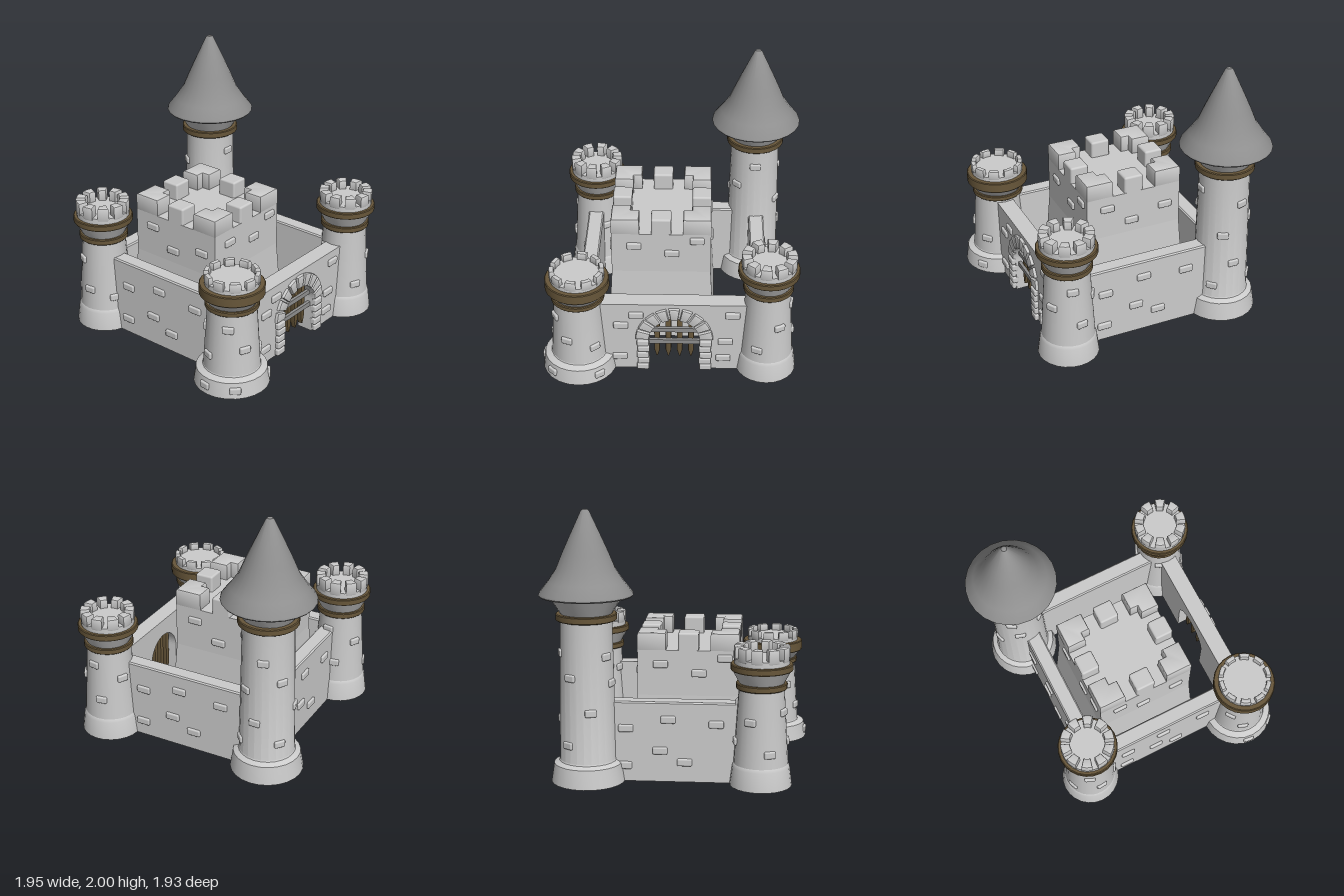
import * as THREE from 'three';
import { toCreasedNormals } from 'three/addons/utils/BufferGeometryUtils.js';
import { RoundedBoxGeometry } from 'three/addons/geometries/RoundedBoxGeometry.js';

const stone = new THREE.MeshStandardMaterial({ color: 0xcccccc });
const openStone = new THREE.MeshStandardMaterial({ color: 0xcccccc, side: THREE.DoubleSide });
const slate = new THREE.MeshStandardMaterial({ color: 0x909090 });
const wood = new THREE.MeshStandardMaterial({ color: 0x68573a });

function add(parent, name, geometry, material = stone, x = 0, y = 0, z = 0) {
  const mesh = new THREE.Mesh(geometry, material);
  mesh.name = name;
  mesh.position.set(x, y, z);
  parent.add(mesh);
  return mesh;
}

function addGroup(parent, name, x, z) {
  const g = new THREE.Group();
  g.name = name;
  g.position.set(x, 0, z);
  parent.add(g);
  return g;
}

function lathe(points) {
  const pts = points.map(([r, y]) => new THREE.Vector2(r, y));
  return toCreasedNormals(new THREE.LatheGeometry(pts, 24), 0.45);
}

function polygon(points) {
  return new THREE.Shape(points.map(([x, y]) => new THREE.Vector2(x, y)));
}

function bevelled(shape, depth, bevel) {
  const geo = new THREE.ExtrudeGeometry(shape, {
    depth: depth - bevel, bevelThickness: bevel, bevelSize: bevel, bevelOffset: -bevel,
    bevelSegments: 2, curveSegments: 4,
  });
  return toCreasedNormals(geo, 0.6);
}

// Block bounded by two arcs, extruded along +z
function sector(r0, r1, a0, a1, depth, bevel) {
  const s = new THREE.Shape();
  s.absarc(0, 0, r1, a0, a1, false);
  s.absarc(0, 0, r0, a1, a0, true);
  s.closePath();
  return bevelled(s, depth, bevel);
}

const brickGeo = new RoundedBoxGeometry(0.11, 0.056, 0.05, 2, 0.012);
const towerBrickGeo = new RoundedBoxGeometry(0.085, 0.055, 0.05, 2, 0.012);

// Protruding bricks on a flat face at local z
function bricks(parent, list, z = 0) {
  for (const [x, y] of list) add(parent, 'brick', brickGeo, stone, x, y, z - 0.008);
}

// Wall whose outer face looks along local +z, with a bevelled top edge
function wall(parent, name, length, x, z, angle, list) {
  const g = addGroup(parent, name, x, z);
  g.rotation.y = angle;
  const section = polygon([[-0.12, 0], [0, 0], [0, 0.59], [-0.01, 0.6], [-0.11, 0.6], [-0.12, 0.59]]);
  const geo = new THREE.ExtrudeGeometry(section, { depth: length, bevelEnabled: false });
  geo.translate(0, 0, -length / 2).rotateY(-Math.PI / 2);
  add(g, 'wallBody', geo);
  bricks(g, list);
}

// Wooden hoop around a tower
function hoop(parent, r, y0, y1) {
  const e = 0.006;
  add(parent, 'woodHoop', lathe([[r - 0.07, y0], [r - e, y0], [r, y0 + e], [r, y1 - e], [r - e, y1], [r - 0.07, y1]]), wood);
}

// Bricks on a tower at [angle from +z towards +x, height, radius]
function towerBricks(parent, list) {
  for (const [a, y, r] of list) {
    const b = add(parent, 'brick', towerBrickGeo, stone, Math.sin(a) * (r - 0.012), y, Math.cos(a) * (r - 0.012));
    b.rotation.y = a;
  }
}

// Round tower with two hoops and a ring of merlons
function roundTower(parent, name, x, z, o) {
  const g = addGroup(parent, name, x, z);
  const { base, foot, neck, low, high, floor, top, rim } = o;
  add(g, 'towerShaft', lathe([
    [base, 0], [base - 0.018, o.plinth], [foot + 0.004, o.plinth + 0.018], [foot, o.plinth + 0.025],
    [neck, low[0]], [neck, low[1]], [rim - 0.012, high[0]], [0.2, high[0] + 0.01],
    [0.2, floor], [0, floor],
  ]), openStone);
  hoop(g, low[2], low[0], low[1]);
  hoop(g, rim, high[0], high[1]);
  const n = 10, step = Math.PI * 2 / n;
  const merlon = sector(o.inner, 0.203, -step * 0.33, step * 0.33, top - floor + 0.01, 0.012);
  merlon.rotateX(-Math.PI / 2);
  for (let i = 0; i < n; i++) add(g, 'merlon', merlon, stone, 0, floor - 0.01, 0).rotation.y = (i + 0.25) * step;
  towerBricks(g, o.bricks);
}

function cornerTowers(parent) {
  const slim = {
    base: 0.228, foot: 0.2, neck: 0.165, plinth: 0.14, low: [0.72, 0.765, 0.186], high: [0.855, 0.905, 0.226],
    floor: 0.95, top: 1.02, rim: 0.226, inner: 0.13,
    bricks: [[0.5, 0.47, 0.183], [-0.42, 0.27, 0.192], [1.4, 0.61, 0.172], [1.75, 0.33, 0.19],
      [2.7, 0.5, 0.18], [3.5, 0.27, 0.192], [4.3, 0.56, 0.176], [4.8, 0.33, 0.19]],
  };
  roundTower(parent, 'frontRightTower', 0.707, 0.68, slim);
  roundTower(parent, 'backLeftTower', -0.635, -0.63, { ...slim, top: 1.035 });
  roundTower(parent, 'frontLeftTower', -0.697, 0.685, {
    base: 0.28, foot: 0.21, neck: 0.18, plinth: 0.12, low: [0.62, 0.66, 0.198], high: [0.72, 0.8, 0.238],
    floor: 0.835, top: 0.89, rim: 0.238, inner: 0.165,
    bricks: [[-1.05, 0.51, 0.188], [-0.4, 0.345, 0.198], [0.7, 0.27, 0.202], [-0.8, 0.06, 0.27], [0.65, 0.06, 0.27],
      [-1.9, 0.27, 0.202], [-2.5, 0.45, 0.19], [-1.7, 0.06, 0.27], [1.5, 0.06, 0.27]],
  });
}

function tallTower(parent) {
  const g = addGroup(parent, 'tallTower', 0.63, -0.623);
  add(g, 'towerShaft', lathe([[0.272, 0], [0.25, 0.14], [0.212, 0.16], [0.207, 0.17], [0.188, 1.2],
    [0.188, 1.25], [0.275, 1.385]]), openStone);
  hoop(g, 0.222, 1.2, 1.25);
  add(g, 'coneRoof', lathe([[0, 1.375], [0.335, 1.375], [0.343, 1.385], [0.338, 1.4], [0.275, 1.48], [0.215, 1.57],
    [0.17, 1.68], [0.125, 1.78], [0.032, 1.98], [0.02, 1.995], [0, 2]]), slate);
  towerBricks(g, [[0, 1.06, 0.19], [1.85, 0.965, 0.192], [1.1, 0.715, 0.197], [1.55, 0.47, 0.2], [0.75, 0.27, 0.204],
    [-0.8, 0.87, 0.194], [2.6, 0.8, 0.195], [2.5, 0.3, 0.204], [3.4, 0.55, 0.2], [4.1, 0.95, 0.192], [4.4, 0.75, 0.196]]);
}

// Square keep with corner and middle merlons
function keep(parent) {
  const g = addGroup(parent, 'keep', -0.09, -0.05);
  const hx = 0.375, hz = 0.385, y = 0.94, h = 0.13;
  add(g, 'keepBody', new THREE.BoxGeometry(hx * 2, y - 0.6, hz * 2), stone, 0, (y + 0.6) / 2, 0);
  const skirt = new THREE.CylinderGeometry(hx * Math.SQRT2, 0.41 * Math.SQRT2, 0.6, 4, 1, true);
  skirt.rotateY(Math.PI / 4).scale(1, 1, hz / hx);
  add(g, 'keepLowerWalls', toCreasedNormals(skirt, 0.1), openStone, 0, 0.3, 0);

  // L-shaped corner merlon with its outer corner at the origin
  const a = 0.21, t = 0.145;
  const corner = bevelled(polygon([[0, 0], [a, 0], [a, t], [t, t], [t, a], [0, a]]), h, 0.016).rotateX(-Math.PI / 2);
  [[-hx, hz], [hx, hz], [hx, -hz], [-hx, -hz]].forEach(([x, z], k) => {
    add(g, 'cornerMerlon', corner, stone, x, y, z).rotation.y = k * Math.PI / 2;
  });
  const middle = new RoundedBoxGeometry(0.152, h + 0.04, t, 2, 0.016);
  for (const s of [-1, 1]) {
    add(g, 'middleMerlon', middle, stone, 0, y + h / 2 - 0.02, s * (hz - t / 2));
    add(g, 'middleMerlon', middle, stone, s * (hx - t / 2), y + h / 2 - 0.02, 0).rotation.y = Math.PI / 2;
  }
  const front = [[-0.205, 0.835], [0.08, 0.77], [0.27, 0.885]];
  const side = [[-0.22, 0.84], [-0.02, 0.7], [0.26, 0.77]];
  [front, side, front, side].forEach((list, k) => {
    const face = addGroup(g, 'keepBricks', 0, 0);
    face.rotation.y = k * Math.PI / 2;
    bricks(face, list, k % 2 ? hx : hz);
  });
}

// Front wall with arched gateway, stone surround and portcullis
function gateWall(parent) {
  const cx = 0.018, cy = 0.28, r = 0.188;
  const g = addGroup(parent, 'gateWall', 0, 0.62);
  const s = new THREE.Shape();
  s.moveTo(-0.6, 0);
  s.lineTo(cx - r, 0);
  s.lineTo(cx - r, cy);
  s.absarc(cx, cy, r, Math.PI, 0, true);
  s.lineTo(cx + r, 0);
  s.lineTo(0.6, 0);
  s.lineTo(0.6, 0.6);
  s.lineTo(-0.6, 0.6);
  s.closePath();
  add(g, 'frontWall', new THREE.ExtrudeGeometry(s, { depth: 0.13, bevelEnabled: false, curveSegments: 16 }));
  bricks(g, [[-0.265, 0.505], [-0.38, 0.41], [-0.39, 0.115], [0.45, 0.51], [0.4, 0.265], [0.385, 0.11]], 0.13);

  const n = 9, step = Math.PI / n;
  const archStone = sector(r, 0.29, step * 0.1, step * 0.9, 0.05, 0.012);
  for (let i = 0; i < n; i++) add(g, 'archStone', archStone, stone, cx, cy, 0.105).rotation.z = i * step;
  const jamb = new RoundedBoxGeometry(0.09, 0.051, 0.05, 2, 0.01);
  for (const side of [-1, 1]) {
    for (let i = 0; i < 5; i++) add(g, 'jambStone', jamb, stone, cx + side * (0.235 - (i % 2) * 0.006), 0.03 + i * 0.056, 0.135);
  }
  // Pointed wooden stakes and iron crossbars
  for (const dx of [-0.13, -0.045, 0.04, 0.125]) {
    const top = cy + Math.sqrt(r * r - dx * dx) + 0.01, w = 0.021;
    const stake = polygon([[-w, top], [-w, 0.14], [-0.005, 0.08], [0.005, 0.08], [w, 0.14], [w, top]]);
    add(g, 'gateStake', bevelled(stake, 0.035, 0.005), wood, cx + dx, 0, 0.05);
  }
  for (const y of [0.235, 0.345]) add(g, 'gateCrossbar', new THREE.BoxGeometry(r * 2, 0.036, 0.025), slate, cx, y, 0.095);
}

export function createModel() {
  const castle = new THREE.Group();
  castle.name = 'castle';
  const list = [[-0.35, 0.4], [-0.04, 0.47], [0.31, 0.44], [-0.36, 0.12], [-0.1, 0.235], [0.08, 0.15]];
  gateWall(castle);
  wall(castle, 'rightWall', 1.2, 0.71, 0.03, Math.PI / 2, list);
  wall(castle, 'leftWall', 1.2, -0.7, 0.03, -Math.PI / 2, list);
  wall(castle, 'backWall', 1.15, 0, -0.64, Math.PI, list);
  cornerTowers(castle);
  tallTower(castle);
  keep(castle);
  return castle;
}
